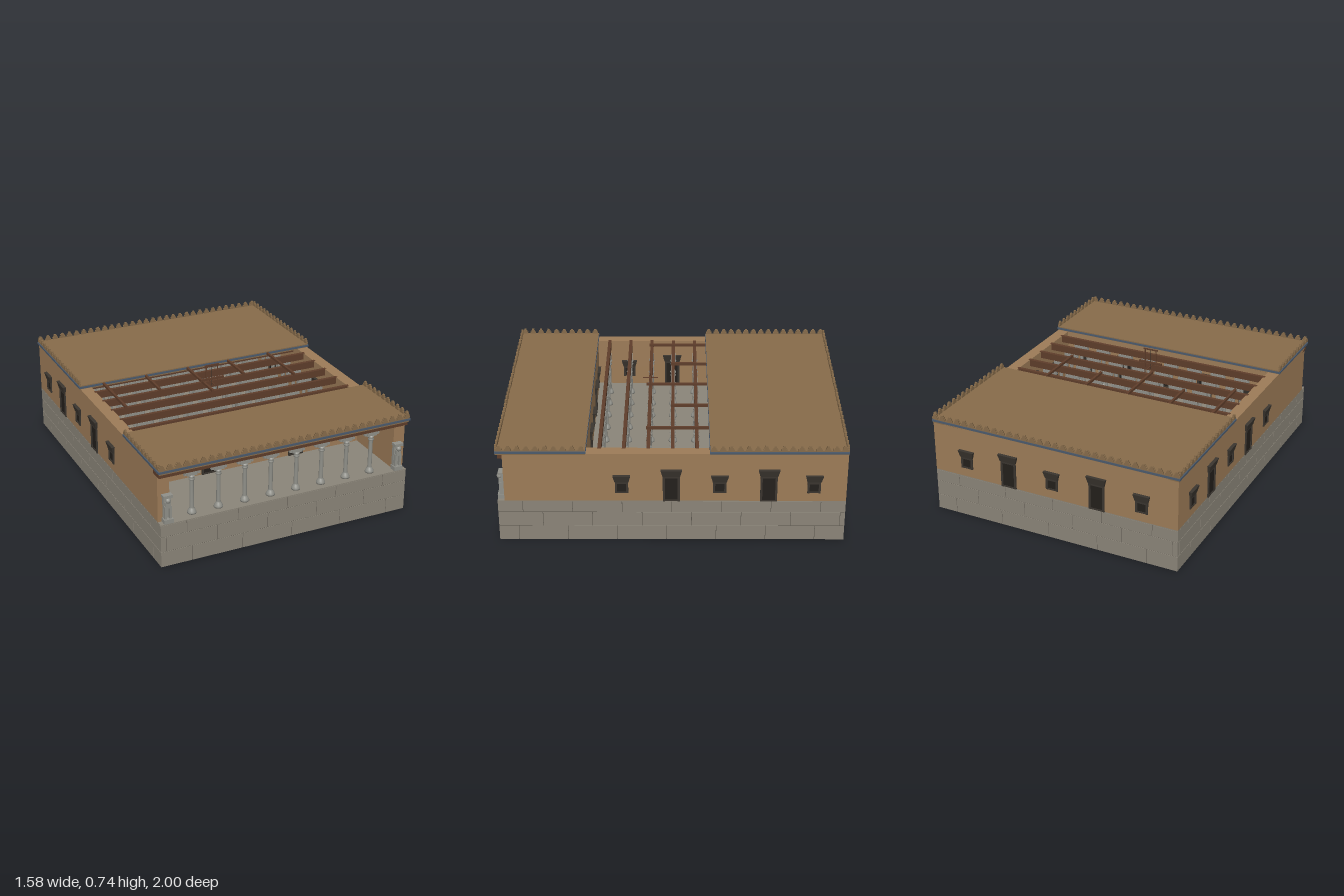
import * as THREE from 'three';
import { mergeGeometries } from 'three/addons/utils/BufferGeometryUtils.js';

const mat = (color) => new THREE.MeshStandardMaterial({ color, roughness: 0.9, metalness: 0 });
const M = {
  stone: mat(0x8a8478), joint: mat(0x5c574e), plaster: mat(0x9c7b57), roof: mat(0x866b4a),
  wood: mat(0x5e3d2a), blue: mat(0x4b5a6c), dark: mat(0x3a352f), black: mat(0x231f1b), column: mat(0x8f8f88),
};
const X = 0.77, ZF = 0.99, ZB = -0.985, FLOOR = 0.26, TOP = 0.565, T = 0.07;

// Box geometry from its lower and upper limits
function span(x0, x1, y0, y1, z0, z1) {
  return new THREE.BoxGeometry(x1 - x0, y1 - y0, z1 - z0)
    .translate((x0 + x1) / 2, (y0 + y1) / 2, (z0 + z1) / 2);
}
function part(parent, name, geometry, material) {
  const g = Array.isArray(geometry) ? mergeGeometries(geometry) : geometry;
  const mesh = new THREE.Mesh(g, material);
  mesh.name = name;
  parent.add(mesh);
  return mesh;
}

// Hollow-bottomed platform faced with coursed stone blocks
function platform() {
  const g = new THREE.Group();
  g.name = 'platform';
  const i = 0.003, t = 0.012;
  part(g, 'platformCore', [
    span(-X + i, X - i, 0.09, FLOOR - 0.001, ZB + i, ZF - i),
    span(-X + i, -X + t, 0, 0.09, ZB + i, ZF - i),
    span(X - t, X - i, 0, 0.09, ZB + i, ZF - i),
    span(-X + t, X - t, 0, 0.09, ZB + i, ZB + t),
    span(-X + t, X - t, 0, 0.09, ZF - t, ZF - i),
  ], M.joint);
  part(g, 'floor', span(-X, X, FLOOR - 0.006, FLOOR, ZB, ZF), M.stone);
  const blocks = [];
  const courses = [0, 0.093, 0.185, FLOOR - 0.004];
  const run = (a, b, n, shift, add) => {
    const step = (b - a) / n;
    for (let k = -1; k < n; k++) {
      const p = Math.max(a, a + (k + shift) * step), q = Math.min(b, a + (k + 1 + shift) * step);
      if (q - p > 0.01) add(p + (p > a ? 0.0015 : 0), q - (q < b ? 0.0015 : 0));
    }
  };
  for (let c = 0; c < 3; c++) {
    const y0 = courses[c], y1 = courses[c + 1] - 0.003, s = [0.6, 0.1, 0.5][c];
    run(-X, X, 5, s, (p, q) => blocks.push(
      span(p, q, y0, y1, ZF - 0.006, ZF), span(p, q, y0, y1, ZB, ZB + 0.006)));
    run(ZB, ZF, 7, s, (p, q) => blocks.push(
      span(X - 0.006, X, y0, y1, p, q), span(-X, -X + 0.006, y0, y1, p, q)));
  }
  part(g, 'stoneBlocks', blocks, M.stone);
  return g;
}

// Door or window facing +z, with a flaring hood
function opening(name, w, y0, y1) {
  const g = new THREE.Group();
  g.name = name;
  const hoodH = 0.042, f = 0.012, h = w / 2, yh = y1 - hoodH;
  part(g, 'leaf', span(-h + f, h - f, y0, yh, -0.002, 0.002), M.black);
  part(g, 'frame', [
    span(-h, -h + f, y0, yh, -0.002, 0.008), span(h - f, h, y0, yh, -0.002, 0.008),
    span(-h + f, h - f, yh - f, yh, -0.002, 0.007),
    span(-h + f, h - f, y0, y0 + 0.008, -0.002, 0.006),
  ], M.dark);
  const hood = new THREE.BoxGeometry(1, hoodH, 1);
  const p = hood.attributes.position;
  for (let k = 0; k < p.count; k++) {
    const up = p.getY(k) > 0;
    p.setX(k, Math.sign(p.getX(k)) * (h + (up ? 0.012 : 0.002)));
    p.setZ(k, p.getZ(k) > 0 ? (up ? 0.02 : 0.01) : -0.002);
  }
  hood.translate(0, yh + hoodH / 2, 0).computeVertexNormals();
  part(g, 'hood', hood, M.dark);
  return g;
}
function openingsAlong(parent, positions, place) {
  positions.forEach((p, k) => {
    const door = k % 2 === 1;
    const o = door ? opening('door', 0.096, FLOOR, 0.465) : opening('window', 0.075, 0.315, 0.428);
    place(o, p);
    parent.add(o);
  });
}

// Column with bell base, shaft and paired bracket capital
const columnProfile = [[0, 0], [0.026, 0], [0.026, 0.008], [0.021, 0.02], [0.015, 0.03], [0.0125, 0.036],
  [0.0115, 0.2], [0.017, 0.206], [0.017, 0.213], [0.012, 0.219], [0.02, 0.234], [0, 0.234]]
  .map(([r, y]) => new THREE.Vector2(r, y));
const columnGeometry = mergeGeometries([
  new THREE.LatheGeometry(columnProfile, 12),
  span(-0.03, 0.03, 0.232, 0.25, -0.012, 0.012),
  span(-0.045, 0.045, 0.25, 0.264, -0.013, 0.013),
  span(-0.047, -0.033, 0.238, 0.252, -0.01, 0.01),
  span(0.033, 0.047, 0.238, 0.252, -0.01, 0.01),
]);
function columnRow(parent, z) {
  for (let k = 0; k < 8; k++) {
    part(parent, 'column', columnGeometry, M.column).position.set(-0.56 + k * 0.16, FLOOR, z);
  }
}

// Stepped battlement, thin in z
function merlon(x, z, turned) {
  const g = mergeGeometries([
    span(-0.018, 0.018, 0, 0.012, -0.006, 0.006),
    span(-0.012, 0.012, 0.012, 0.023, -0.006, 0.006),
    span(-0.007, 0.007, 0.023, 0.031, -0.006, 0.006),
  ]);
  if (turned) g.rotateY(Math.PI / 2);
  return g.translate(x, 0.586, z);
}

// Flat roof with a blue fascia and battlements on its three outer edges
function roof(name, z0, z1, outerZ) {
  const g = new THREE.Group();
  g.name = name;
  part(g, 'roofSlab', span(-0.772, 0.772, TOP - 0.005, 0.587, z0 + 0.003, z1 - 0.003), M.roof);
  part(g, 'fascia', span(-0.778, 0.778, 0.568, 0.581, z0, z1), M.blue);
  const m = [];
  for (let k = 0; k < 32; k++) m.push(merlon(-0.758 + k * 1.516 / 31, outerZ - Math.sign(outerZ) * 0.007, false));
  const n = Math.round((z1 - z0) / 0.049);
  for (let k = 0; k < n; k++) {
    const z = z0 + (k + 0.5) * (z1 - z0) / n;
    m.push(merlon(0.77, z, true), merlon(-0.77, z, true));
  }
  part(g, 'battlements', m, M.roof);
  return g;
}

// Seated guardian carving on the end of a side wall
function guardian(x) {
  const g = new THREE.Group();
  g.name = 'guardianCarving';
  part(g, 'plinth', span(-0.027, 0.027, 0, 0.025, -0.02, 0.025), M.column);
  part(g, 'backSlab', span(-0.022, 0.022, 0.025, 0.15, -0.02, 0), M.column);
  part(g, 'legs', [span(-0.02, -0.008, 0.025, 0.1, 0, 0.016), span(0.008, 0.02, 0.025, 0.1, 0, 0.016)], M.column);
  part(g, 'chest', span(-0.016, 0.016, 0.09, 0.125, 0, 0.017), M.column);
  part(g, 'head', new THREE.SphereGeometry(0.016, 12, 8).translate(0, 0.135, 0.012), M.column);
  part(g, 'cap', span(-0.027, 0.027, 0.15, 0.167, -0.02, 0.018), M.column);
  g.position.set(x, FLOOR, 0.965);
  return g;
}

// Small hoist frame standing on the courtyard beams
function hoist() {
  const g = new THREE.Group();
  g.name = 'hoist';
  const z = 0.135;
  const rod = (x0, x1, y0, y1, r = 0.003) => span(x0, x1, y0, y1, z - r, z + r);
  part(g, 'crossBeam', rod(-0.14, 0.01, 0.637, 0.65, 0.006), M.wood);
  part(g, 'uprights', [rod(-0.106, -0.1, 0.637, 0.73), rod(-0.033, -0.027, 0.57, 0.73)], M.wood);
  part(g, 'topBar', rod(-0.115, -0.02, 0.727, 0.735), M.wood);
  part(g, 'rope', rod(-0.068, -0.066, 0.6, 0.73, 0.001), M.dark);
  part(g, 'footBar', span(-0.069, -0.063, 0.616, 0.621, 0.09, 0.18), M.wood);
  return g;
}

export function createModel() {
  const model = new THREE.Group();
  model.name = 'columnedHall';
  model.add(platform());

  // Outer walls and the wall between porch and court
  part(model, 'leftWall', span(X - T, X, FLOOR, TOP, ZB, 0.95), M.plaster);
  part(model, 'rightWall', span(-X, -X + T, FLOOR, TOP, ZB, 0.95), M.plaster);
  part(model, 'backWall', span(-X + T, X - T, FLOOR, TOP, ZB, ZB + T), M.plaster);
  part(model, 'porchWall', span(-X + T, X - T, FLOOR, TOP, 0.485, 0.555), M.plaster);

  // Doors and windows on both faces of each wall
  const xs = [-0.555, -0.28, 0, 0.28, 0.555], zs = [0.285, 0.005, -0.268, -0.545, -0.8];
  for (const [z, turn] of [[0.555, 0], [0.485, Math.PI], [ZB, Math.PI], [ZB + T, 0]]) {
    openingsAlong(model, xs, (o, x) => { o.position.set(x, 0, z); o.rotation.y = turn; });
  }
  for (const [x, dir] of [[X, 1], [X - T, -1], [-X, -1], [-X + T, 1]]) {
    openingsAlong(model, zs, (o, z) => { o.position.set(x, 0, z); o.rotation.y = dir * Math.PI / 2; });
  }

  // Porch columns and lintel
  columnRow(model, 0.93);
  part(model, 'porchLintel', span(-X, X, 0.535, TOP, 0.9, 0.975), M.wood);

  // Court and hall columns, each row under a long beam
  for (let k = 0; k < 10; k++) {
    const z = 0.41 - k * 0.1375;
    columnRow(model, z);
    part(model, 'longBeam', span(-0.71, 0.71, 0.524, 0.566, z - 0.01, z + 0.01), M.wood);
  }
  [-0.622, -0.348, -0.07, 0.207, 0.483].forEach((x, k) => {
    part(model, 'crossBeam', span(x - 0.007, x + 0.007, 0.566, 0.581, -0.22, [0.15, 0.01, 0.16, 0.01, 0.15][k]), M.wood);
  });

  model.add(hoist(), guardian(0.72), guardian(-0.72));
  model.add(roof('porchRoof', 0.482, ZF, ZF), roof('hallRoof', ZB - 0.003, -0.21, ZB - 0.003));
  return model;
}
